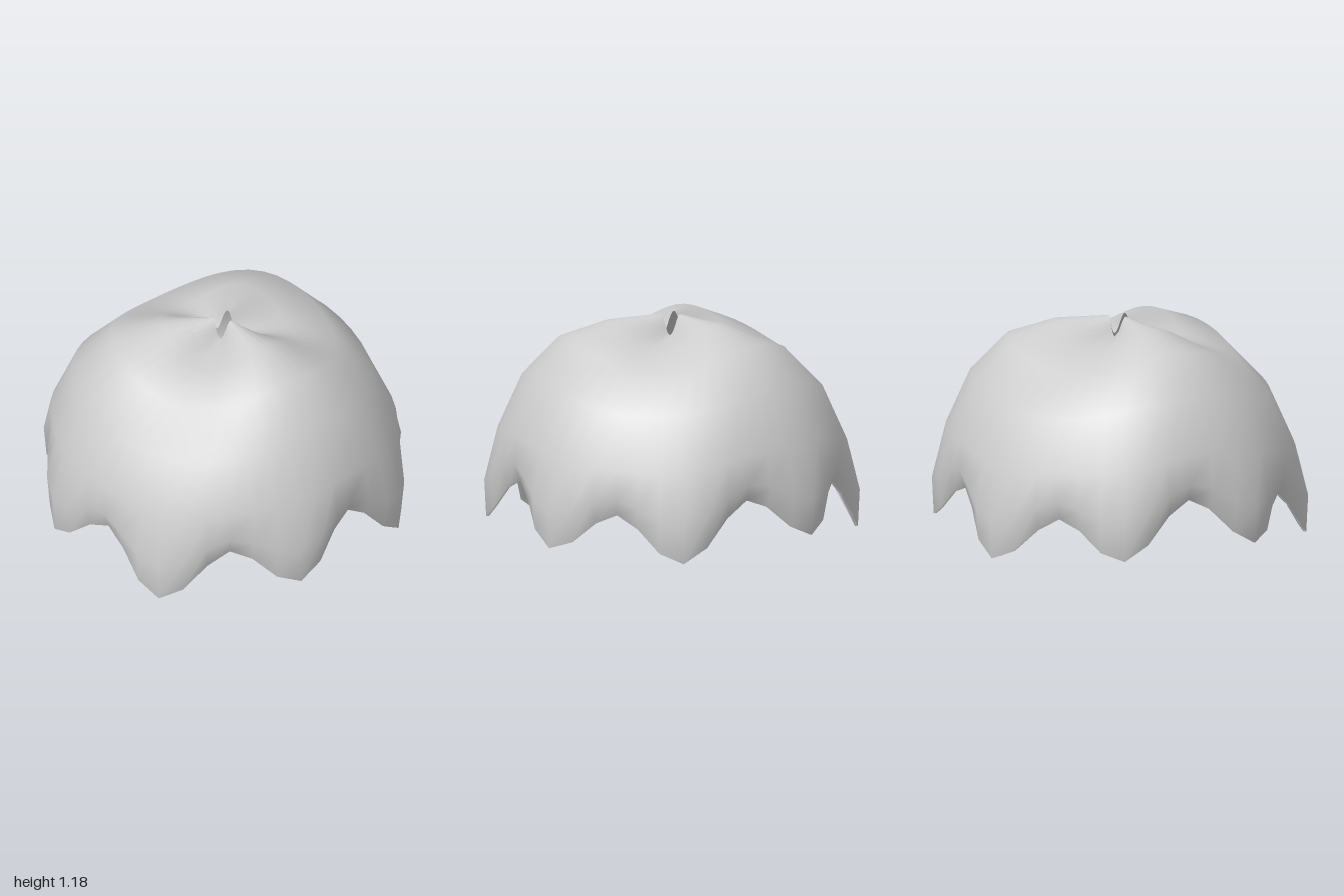
import * as THREE from 'three';

const SEGMENTS = 48;   // columns around the dome, six per scallop
const WALL = 0.015;    // shell thickness

// Profile rows from the crown hole to the hem: radius, height, and how far
// each is pulled in and raised at the notch between two points.
const ROWS = [
  { r: 0.055, y: 1.13, pull: 0, lift: 0 },
  { r: 0.345, y: 1.112, pull: 0, lift: 0 },
  { r: 0.6, y: 1.03, pull: 0, lift: 0 },
  { r: 0.8, y: 0.825, pull: 0, lift: 0 },
  { r: 0.932, y: 0.53, pull: 0.01, lift: 0.02 },
  { r: 1.0, y: 0.255, pull: 0.068, lift: 0.14 },
  { r: 0.99, y: 0.056, pull: 0.09, lift: 0.25 },
];

function shellGeometry() {
  // Outer skin downwards, then inner skin back up, as one strip
  const last = ROWS.length - 1;
  const profile = ROWS.map((row) => ({ ...row }));
  for (let i = last; i >= 0; i--) {
    const row = ROWS[i];
    const inset = i === 0 ? 0 : WALL;
    profile.push({ ...row, r: row.r - inset, y: row.y - (i === last ? 0 : inset) });
  }

  const positions = [];
  const indices = [];
  profile.forEach((row, i) => {
    for (let j = 0; j < SEGMENTS; j++) {
      const a = (j / SEGMENTS) * Math.PI * 2;
      const notch = (1 - Math.cos(8 * a)) / 2;     // eight hem points
      const wave = -0.055 * Math.cos(3 * a);       // three-fold warp of the whole dome
      const r = row.r - row.pull * notch;
      positions.push(r * Math.sin(a), row.y + row.lift * notch + wave, r * Math.cos(a));
      if (i === profile.length - 1) continue;
      const k = (j + 1) % SEGMENTS;
      const p = i * SEGMENTS;
      const q = p + SEGMENTS;
      indices.push(p + j, q + j, p + k, p + k, q + j, q + k);
    }
  });

  const geometry = new THREE.BufferGeometry();
  geometry.setAttribute('position', new THREE.Float32BufferAttribute(positions, 3));
  geometry.setIndex(indices);
  geometry.computeVertexNormals();
  return geometry;
}

export function createModel() {
  const group = new THREE.Group();
  group.name = 'scallopedDome';
  const grey = new THREE.MeshStandardMaterial({ color: 0xcccccc, side: THREE.DoubleSide });
  grey.name = 'light grey';
  const shell = new THREE.Mesh(shellGeometry(), grey);
  shell.name = 'domeShell';
  group.add(shell);
  return group;
}
